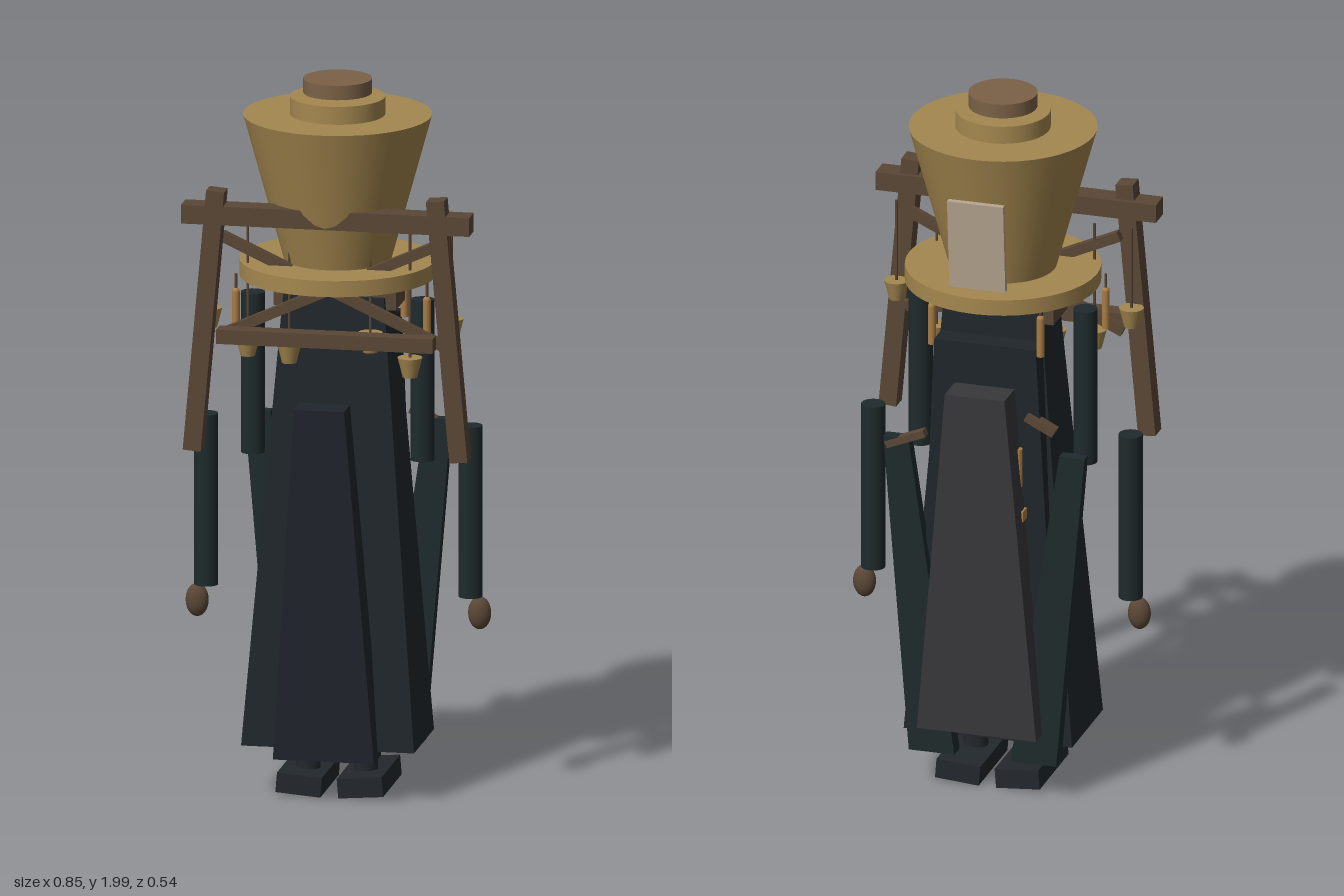
import * as THREE from 'three';

const mat = (color, double) => new THREE.MeshStandardMaterial({ color, side: double ? THREE.DoubleSide : THREE.FrontSide });
const TAN = mat(0xa4874f), BROWN = mat(0x5a4736), CAP = mat(0x7a6146), ROBE = mat(0x20262b),
  FRONT = mat(0x20262d), SLEEVE = mat(0x1f2a2c), BACK = mat(0x38383c), SHOE = mat(0x23282d),
  PAPER = mat(0xb5a58e), BRASS = mat(0xa87c45);

export function createModel() {
  const model = new THREE.Group();

  const add = (name, geometry, material, x = 0, y = 0, z = 0) => {
    const mesh = new THREE.Mesh(geometry, material);
    mesh.name = name;
    mesh.position.set(x, y, z);
    model.add(mesh);
    return mesh;
  };
  const box = (name, material, w, h, d, x, y, z) => add(name, new THREE.BoxGeometry(w, h, d), material, x, y, z);
  const drum = (name, material, rTop, rBottom, y0, y1, x = 0, z = 0, sides = 40) =>
    add(name, new THREE.CylinderGeometry(rTop, rBottom, y1 - y0, sides), material, x, (y0 + y1) / 2, z);

  // Box whose top and bottom are separate rectangles [x0, x1, z0, z1, y]
  const tapered = (name, material, bottom, top) => {
    const geometry = new THREE.BoxGeometry(1, 1, 1);
    const p = geometry.attributes.position;
    for (let i = 0; i < p.count; i++) {
      const r = p.getY(i) > 0 ? top : bottom;
      p.setXYZ(i, p.getX(i) > 0 ? r[1] : r[0], r[4], p.getZ(i) > 0 ? r[3] : r[2]);
    }
    geometry.computeVertexNormals();
    return add(name, geometry, material);
  };

  // Square beam between two points in the x-y plane
  const beam = (name, a, b, z, height, depth) => {
    const dx = b[0] - a[0], dy = b[1] - a[1];
    const mesh = box(name, BROWN, Math.hypot(dx, dy), height, depth, (a[0] + b[0]) / 2, (a[1] + b[1]) / 2, z);
    mesh.rotation.z = Math.atan2(dy, dx);
    return mesh;
  };

  // Bell-shaped hat
  drum('hatBrim', TAN, 0.268, 0.268, 1.45, 1.495);
  drum('hatCrown', TAN, 0.258, 0.14, 1.47, 1.9);
  drum('hatStep', TAN, 0.13, 0.13, 1.9, 1.95);
  drum('hatCap', CAP, 0.094, 0.094, 1.96, 2.0);

  // Paper slip on the back of the hat
  const slip = box('paperSlip', PAPER, 0.16, 0.26, 0.015, 0, 1.64, -0.24);
  slip.rotation.x = -0.08;

  // Neck and collar
  box('neck', ROBE, 0.16, 0.1, 0.1, 0, 1.41, 0);
  box('collar', BROWN, 0.34, 0.07, 0.13, 0, 1.4, -0.02);

  // Robe: body, back layer, front apron and back apron
  tapered('robeBody', ROBE, [-0.24, 0.24, -0.14, 0.145, 0.15], [-0.14, 0.14, -0.1, 0.06, 1.4]);
  tapered('robeBackLayer', ROBE, [-0.2, 0.2, -0.14, 0, 0.16], [-0.145, 0.145, -0.168, 0, 1.32]);
  tapered('frontApron', FRONT, [-0.14, 0.14, 0.1, 0.205, 0.13], [-0.07, 0.07, 0.185, 0.27, 1.13]);
  tapered('backApron', BACK, [-0.17, 0.17, -0.245, -0.18, 0.2], [-0.085, 0.085, -0.262, -0.17, 1.2]);

  // Gate-like frame in front of the hat
  beam('frameTopBeam', [-0.4, 1.642], [0.4, 1.642], 0.148, 0.052, 0.066);
  beam('frameLowerBeam', [-0.3, 1.305], [0.3, 1.305], 0.165, 0.04, 0.05);

  for (const s of [-1, 1]) {
    beam('framePost', [s * 0.37, 0.98], [s * 0.305, 1.71], 0.155, 0.05, 0.054);
    beam('frameBrace', [s * -0.31, 1.29], [s * 0.3, 1.57], 0.108, 0.028, 0.025);

    // Narrow side panels that lean inwards at the hem
    const xs = (a, b) => (s > 0 ? [a, b] : [-b, -a]);
    tapered('sidePanel', SLEEVE, [...xs(0.08, 0.21), -0.19, -0.14, 0.11], [...xs(0.215, 0.287), -0.177, -0.143, 1.02]);

    // Arms and hands
    drum('upperArm', SLEEVE, 0.033, 0.033, 0.94, 1.39, s * 0.235, 0, 20);
    drum('lowerArm', SLEEVE, 0.033, 0.033, 0.56, 1.04, s * 0.367, -0.01, 20);
    const hand = add('hand', new THREE.SphereGeometry(1, 20, 14), BROWN, s * 0.392, 0.515, -0.01);
    hand.scale.set(0.032, 0.046, 0.025);

    // Legs and feet
    drum('leg', SHOE, 0.034, 0.034, 0.06, 0.18, s * 0.08, 0.01, 20);
    const foot = box('foot', SHOE, 0.125, 0.055, 0.265, s * 0.085, 0.04, -0.012);
    foot.rotation.z = s * 0.08;

    // Small rods hanging below the brim
    for (const [x, z] of [[0.265, 0.09], [0.155, -0.155]]) {
      drum('brimRod', BRASS, 0.011, 0.011, 1.3, 1.41, s * x, z, 12);
      drum('brimRodCord', BROWN, 0.004, 0.004, 1.41, 1.46, s * x, z, 8);
      add('brimRodTip', new THREE.SphereGeometry(0.011, 12, 8), BRASS, s * x, 1.41, z);
    }

    // Tassels between robe and back apron
    drum('backTassel', BRASS, 0.011, 0.011, 0.92, 1.03, s * 0.1, -0.178, 12);
    drum('backTasselCord', BROWN, 0.004, 0.004, 0.85, 0.93, s * 0.1, -0.178, 8);
    box('backTasselWeight', BRASS, 0.04, 0.03, 0.035, s * 0.1, 0.84, -0.185);
  }

  // Toggles at the waist
  beam('waistToggle', [-0.2, 1.085], [-0.12, 1.125], -0.165, 0.02, 0.04);
  beam('waistToggle', [0.17, 1.04], [0.28, 0.995], -0.165, 0.02, 0.03);

  // Cups hanging on cords: x, rim height, z, cord top
  const cups = [
    [-0.335, 1.365, 0.1, 1.6], [0.335, 1.365, 0.1, 1.6],
    [-0.23, 1.29, 0.1, 1.6], [0.22, 1.25, 0.1, 1.6],
    [-0.115, 1.275, 0.1, 1.54], [0.11, 1.315, 0.1, 1.54],
  ];
  for (const [x, y, z, top] of cups) {
    drum('hangingCup', TAN, 0.034, 0.02, y - 0.055, y, x, z, 20);
    drum('cupCord', BROWN, 0.004, 0.004, y, top, x, z, 8);
  }

  return model;
}
